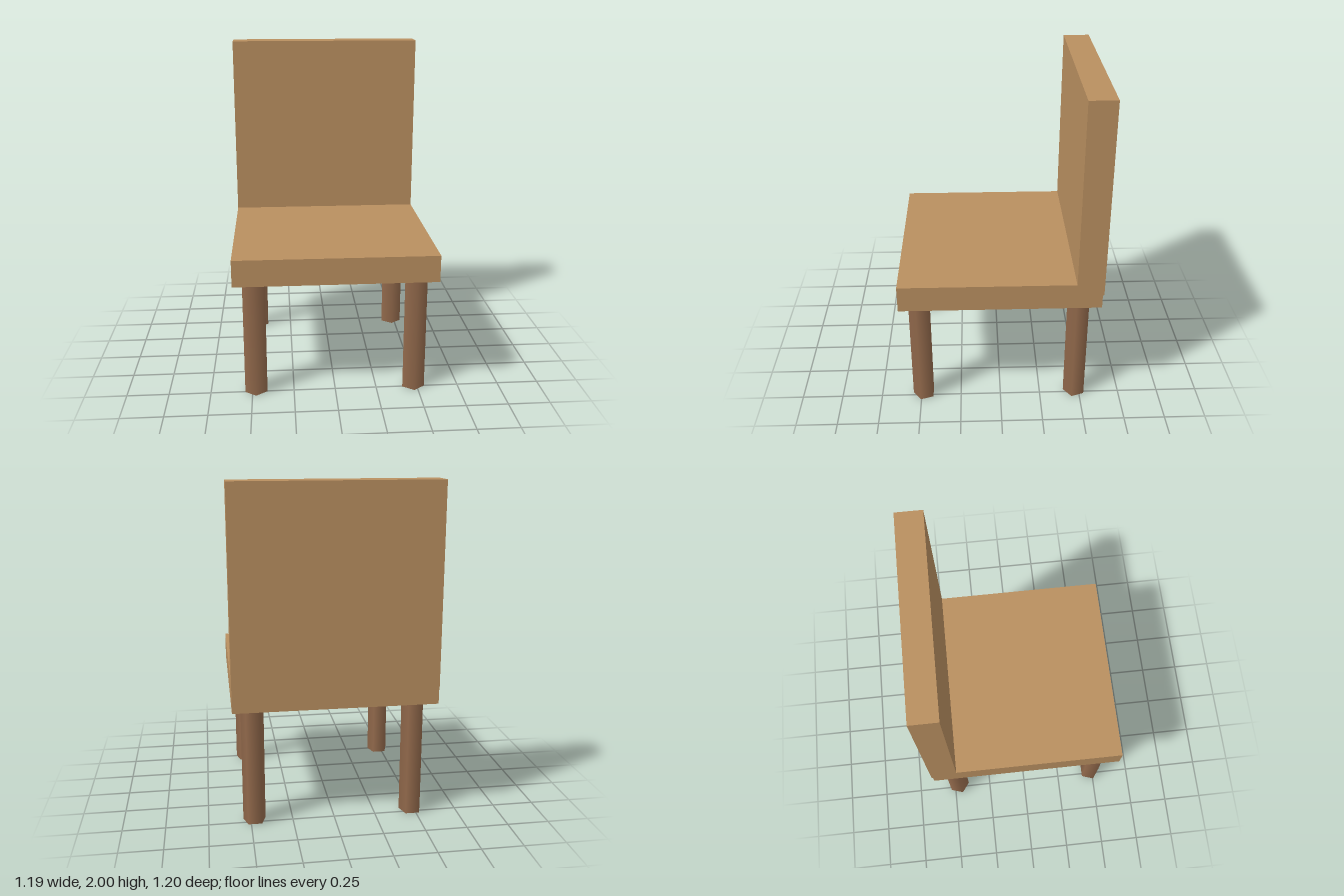
import * as THREE from 'three';

export function createModel() {
  const model = new THREE.Group();
  model.name = 'chair';
  const lightWood = new THREE.MeshStandardMaterial({ color: 0xb98f60 });
  lightWood.name = 'light wood';
  const darkWood = new THREE.MeshStandardMaterial({ color: 0x936a4c });
  darkWood.name = 'dark wood';

  const add = (name, geometry, material, x, y, z) => {
    const mesh = new THREE.Mesh(geometry, material);
    mesh.name = name;
    mesh.position.set(x, y, z);
    model.add(mesh);
  };

  const size = 1.193, thick = 0.16, legHeight = 0.72, midZ = 0.005;

  // Seat slab
  add('seat', new THREE.BoxGeometry(size, thick, size), lightWood, 0, legHeight + thick / 2, midZ);

  // Backrest, reaching slightly behind the seat's rear edge
  add('backrest', new THREE.BoxGeometry(size, size, thick), lightWood, 0, 2 - size / 2, -0.6 + thick / 2);

  // Four five-sided legs with smooth sides
  const leg = new THREE.CylinderGeometry(0.07, 0.07, legHeight, 5);
  for (const [sideName, sx] of [['Left', 1], ['Right', -1]]) {
    for (const [endName, sz] of [['front', 1], ['back', -1]]) {
      add(`${endName}${sideName}Leg`, leg, darkWood, sx * 0.477, legHeight / 2, midZ + sz * 0.477);
    }
  }
  return model;
}
